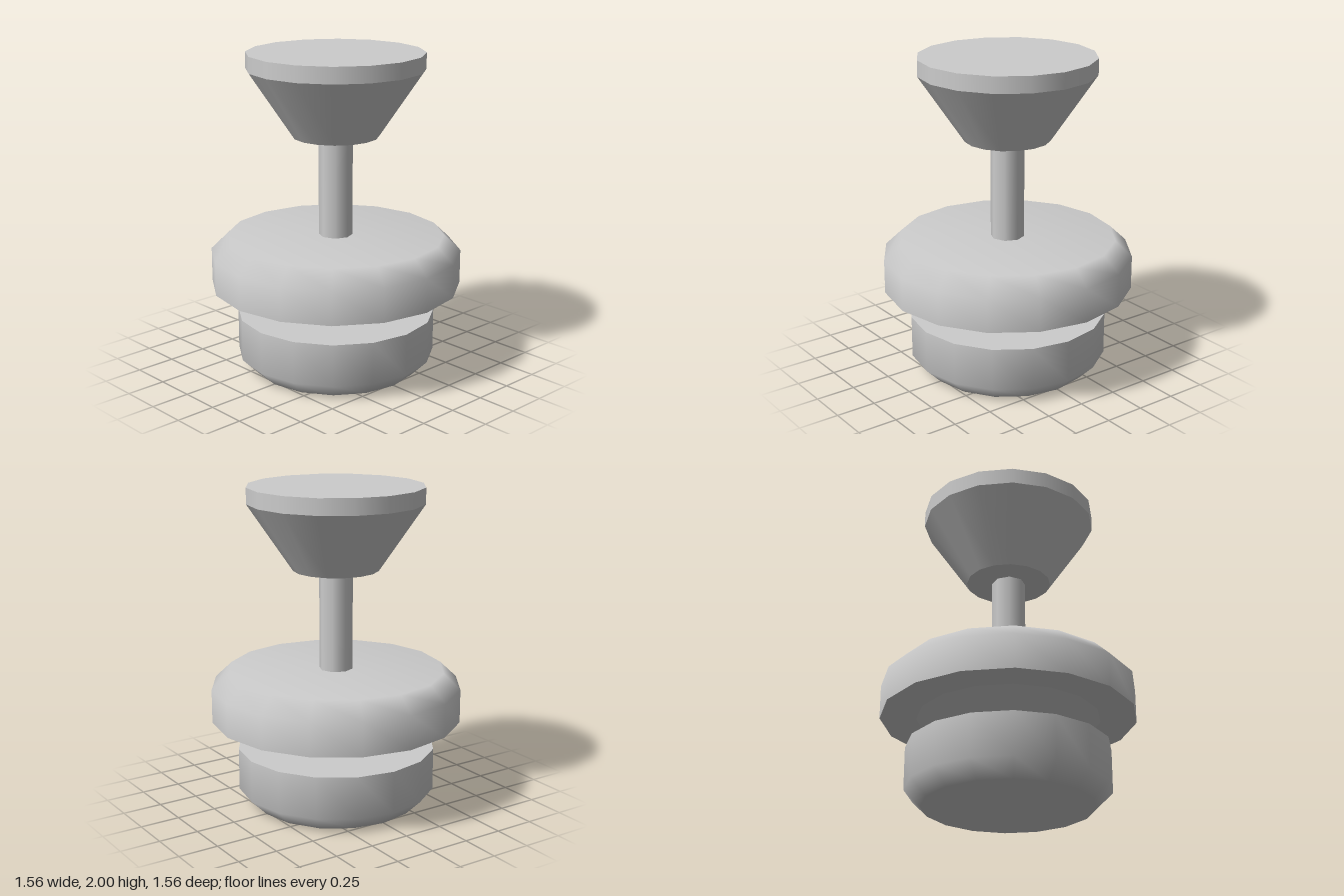
import * as THREE from 'three';

export function createModel() {
  const group = new THREE.Group();
  const grey = new THREE.MeshStandardMaterial({ color: 0xcccccc });
  grey.name = 'plain grey';

  // Each profile runs [radius, height] upward; normals are smooth within one profile
  // and sharp where two profiles meet.
  function turned(name, profiles, sides = 16) {
    const part = new THREE.Group();
    part.name = name;
    profiles.forEach((profile, i) => {
      const points = profile.map(([r, y]) => new THREE.Vector2(r, y));
      const mesh = new THREE.Mesh(new THREE.LatheGeometry(points, sides), grey);
      mesh.name = `${name}Surface${i + 1}`;
      part.add(mesh);
    });
    group.add(part);
  }

  // Base puck: rounded underside, flat top
  turned('base', [
    [[0, 0], [0.52, 0], [0.62, 0.1], [0.62, 0.365]],
    [[0.62, 0.365], [0, 0.365]],
  ]);

  // Wide collar: shallow cone below, soft bevel above
  turned('collar', [
    [[0, 0.45], [0.37, 0.45]],
    [[0.37, 0.45], [0.56, 0.55]],
    [[0.56, 0.55], [0.78, 0.55]],
    [[0.78, 0.55], [0.78, 0.76], [0.675, 0.86], [0, 0.86]],
  ]);

  // Slim rod through the collar
  turned('rod', [[[0.105, 0.34], [0.105, 1.5]]], 8);

  // Flared knob with a straight rim
  turned('knob', [
    [[0, 1.485], [0.265, 1.485]],
    [[0.265, 1.485], [0.545, 1.9]],
    [[0.545, 1.9], [0.545, 2]],
    [[0.545, 2], [0, 2]],
  ]);

  return group;
}
